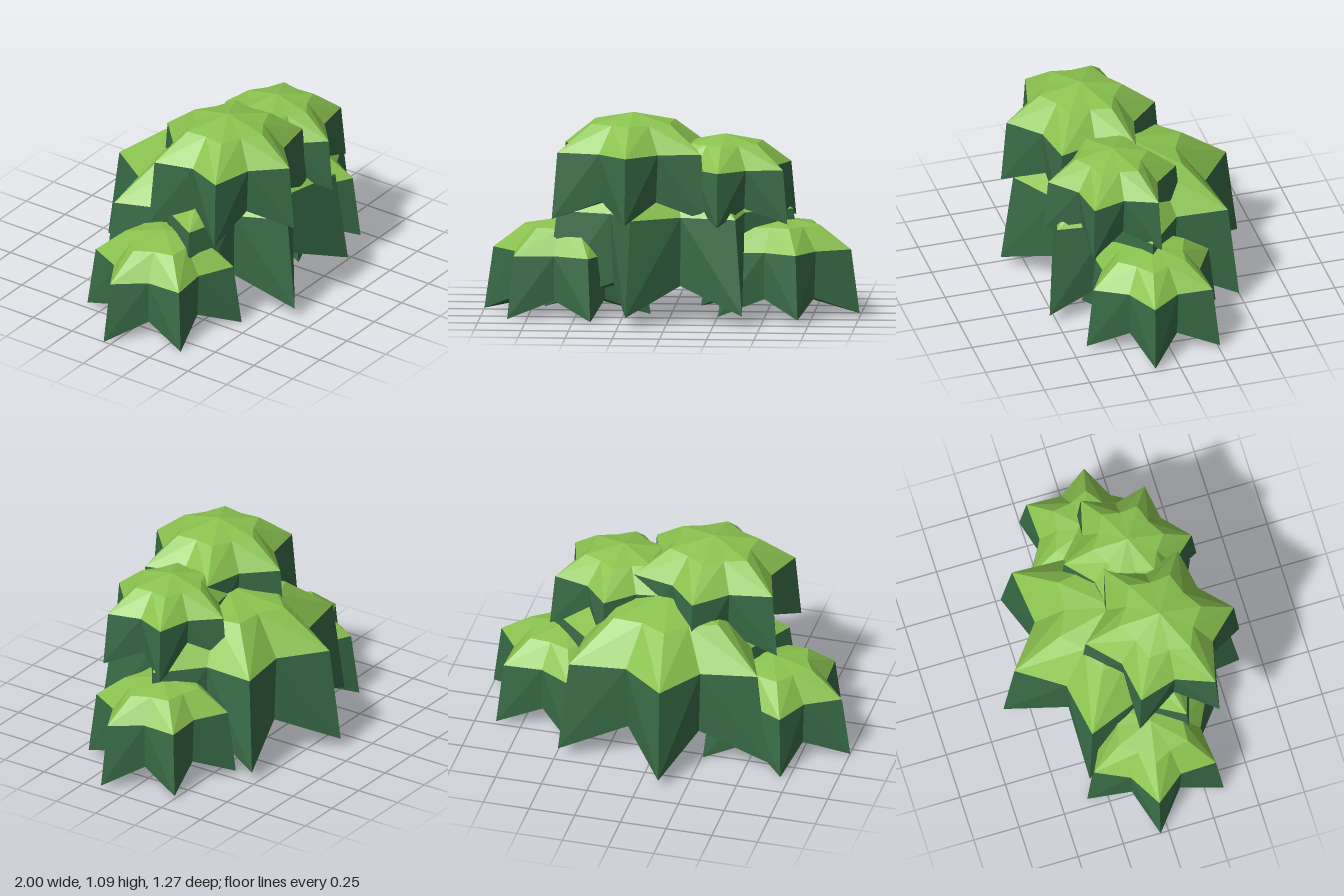
import * as THREE from 'three';

const leafLight = new THREE.MeshStandardMaterial({ color: 0x8bc34f, flatShading: true });
const leafDark = new THREE.MeshStandardMaterial({ color: 0x396c47, flatShading: true });

const WIDE = 1.09; // every star is slightly wider than deep

// One star-shaped ring: tips and valleys alternate; r = 0 gives a centre point
function starRing(points, turn, r, valley, tipY, valleyY = tipY) {
  return Array.from({ length: points * 2 }, (_, i) => {
    const a = turn + (i * Math.PI) / points;
    const rad = i % 2 ? r * valley : r;
    return new THREE.Vector3(WIDE * rad * Math.cos(a), i % 2 ? valleyY : tipY, rad * Math.sin(a));
  });
}

// Join rings from top to bottom with outward-facing triangles
function loft(rings) {
  const pos = [];
  const tri = (a, b, c) => {
    if (a.distanceTo(b) < 1e-6 || b.distanceTo(c) < 1e-6 || a.distanceTo(c) < 1e-6) return;
    for (const p of [a, b, c]) pos.push(p.x, p.y, p.z);
  };
  for (let k = 0; k < rings.length - 1; k++) {
    const u = rings[k], l = rings[k + 1], n = u.length;
    for (let i = 0; i < n; i++) {
      const j = (i + 1) % n;
      // Diagonals run from each upper valley to the lower tips beside it
      if (i % 2) {
        tri(u[i], u[j], l[j]);
        tri(u[i], l[j], l[i]);
      } else {
        tri(u[i], u[j], l[i]);
        tri(u[j], l[j], l[i]);
      }
    }
  }
  const g = new THREE.BufferGeometry();
  g.setAttribute('position', new THREE.Float32BufferAttribute(pos, 3));
  g.computeVertexNormals();
  return g;
}

// A clump: light domed cap over a dark hanging skirt with a folded underside
function makeClump({ name, x, z, points, r, rimR, midR, top, mid, rim, tip, turn }) {
  const group = new THREE.Group();
  group.name = name;
  const h = top - tip, t = THREE.MathUtils.degToRad(turn);
  const ring = (...args) => starRing(points, t, ...args);
  const edge = ring(rimR, 0.71, rim);

  const cap = new THREE.Mesh(loft([ring(0, 1, top), ring(midR, 0.8, mid), edge]), leafLight);
  cap.name = 'leafCap';
  const skirt = new THREE.Mesh(
    loft([edge, ring(r, 0.61, tip, tip + 0.18 * h), ring(0, 1, tip + 0.21 * h)]), leafDark);
  skirt.name = 'leafSkirt';

  group.add(cap, skirt);
  group.position.set(x, 0, z);
  return group;
}

export function createModel() {
  const model = new THREE.Group();
  model.name = 'bush';
  const clumps = [
    { name: 'topClump', x: -0.195, z: 0.195, points: 6, r: 0.435, rimR: 0.405, midR: 0.225,
      top: 1.107, mid: 1.055, rim: 0.913, tip: 0.56, turn: 32 },
    { name: 'upperLeftClump', x: 0.292, z: 0.167, points: 6, r: 0.373, rimR: 0.347, midR: 0.195,
      top: 0.993, mid: 0.947, rim: 0.826, tip: 0.54, turn: 33 },
    { name: 'coreClump', x: 0, z: 0.005, points: 7, r: 0.655, rimR: 0.59, midR: 0.325,
      top: 0.84, mid: 0.78, rim: 0.577, tip: 0.07, turn: 4 },
    { name: 'lowerRightClump', x: -0.555, z: 0.035, points: 6, r: 0.417, rimR: 0.372, midR: 0.212,
      top: 0.52, mid: 0.48, rim: 0.345, tip: 0.015, turn: 11 },
    { name: 'lowerLeftClump', x: 0.572, z: 0.035, points: 6, r: 0.405, rimR: 0.362, midR: 0.207,
      top: 0.532, mid: 0.495, rim: 0.373, tip: 0.035, turn: 14.5 },
  ];
  for (const c of clumps) model.add(makeClump(c));
  return model;
}
